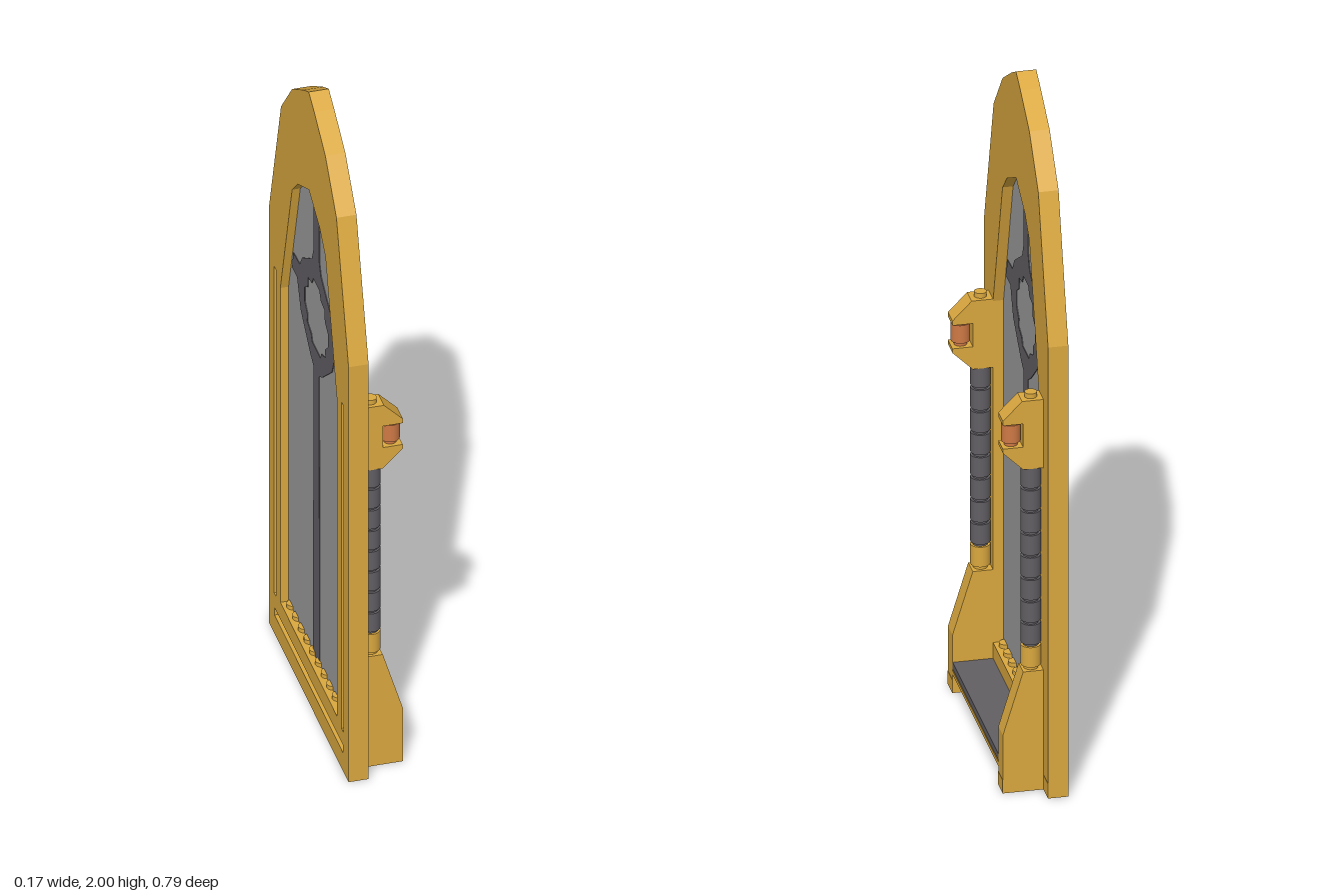
import * as THREE from 'three';

const mat = (name, color, side = THREE.FrontSide) => {
  const m = new THREE.MeshStandardMaterial({ color, side });
  m.name = name;
  return m;
};

export function createModel() {
  const gold = mat('gold', 0xdaa83f);
  const darkGrey = mat('dark grey', 0x625f64);
  const paleGrey = mat('pale grey', 0x9c9c9c);
  const copper = mat('copper', 0xcf7a45);

  const root = new THREE.Group();
  root.name = 'archedWindow';
  const S = 0.0564; // brick module
  const BACK = -0.085, FRONT = -0.029;

  const add = (geo, material, name, parent = root) => {
    const m = new THREE.Mesh(geo, material);
    m.name = name;
    parent.add(m);
    return m;
  };
  const poly = (pts, Type = THREE.Shape) => new Type(pts.map(p => new THREE.Vector2(p[0], p[1])));
  const mirrored = half => [...half, ...half.filter(p => p[0] !== 0).reverse().map(([z, y]) => [-z, y])];
  const rect = (a, b, c, d) => [[a, c], [b, c], [b, d], [a, d]];
  const withHoles = (pts, holes) => {
    const s = poly(pts);
    holes.forEach(h => s.holes.push(poly(h, THREE.Path)));
    return s;
  };
  // Upright slab: shape drawn in z and y, thickness from x0 to x1
  const slab = (shape, x0, x1) =>
    new THREE.ExtrudeGeometry(shape, { depth: x1 - x0, bevelEnabled: false })
      .rotateY(Math.PI / 2).translate(x0, 0, 0);
  // Side profile drawn in x and y, running from z0 to z1
  const profile = (pts, z0, z1) =>
    new THREE.ExtrudeGeometry(poly(pts), { depth: z1 - z0, bevelEnabled: false }).translate(0, 0, z0);
  const box = (x0, x1, y0, y1, z0, z1) =>
    new THREE.BoxGeometry(x1 - x0, y1 - y0, z1 - z0)
      .translate((x0 + x1) / 2, (y0 + y1) / 2, (z0 + z1) / 2);
  const cyl = (r, y0, y1, x, z, n = 20) =>
    new THREE.CylinderGeometry(r, r, y1 - y0, n).translate(x, (y0 + y1) / 2, z);
  // Brick underside: open square cells from y = 0 up to h
  const cells = (x0, nx, z0, nz, h) => {
    const holes = [], w = 0.008;
    for (let i = 0; i < nx; i++) for (let j = 0; j < nz; j++) {
      const x = x0 + i * S, z = z0 + j * S;
      holes.push(rect(x + w, x + S - w, -z - S + w, -z - w));
    }
    const s = withHoles(rect(x0, x0 + nx * S, -z0 - nz * S, -z0), holes);
    return new THREE.ExtrudeGeometry(s, { depth: h, bevelEnabled: false }).rotateX(-Math.PI / 2);
  };

  // Pointed frame with its opening; the back layer has grooves
  const outline = mirrored([[0.395, 0.045], [0.395, 1.36], [0.275, 1.77], [0.165, 1.9], [0.055, 1.97], [0, 2]]);
  const opening = mirrored([[0.282, 0.14], [0.282, 1.17], [0.165, 1.57], [0.11, 1.625], [0, 1.68]]);
  const grooves = [
    rect(0.325, 0.345, 0.13, 1.2), rect(-0.345, -0.325, 0.13, 1.2), rect(-0.34, 0.34, 0.06, 0.085),
  ];
  add(slab(withHoles(outline, [opening]), -0.062, FRONT), gold, 'frameFront');
  add(slab(withHoles(outline, [opening, ...grooves]), BACK, -0.062), gold, 'frameBack');
  add(cells(BACK, 1, -0.395, 14, 0.045), gold, 'frameUnderside');

  // Pane and its tracery, visible from both sides
  add(slab(poly(opening), -0.062, -0.058), paleGrey, 'pane');
  const ring = mirrored([
    [0.032, 0.14], [0.03, 0.6], [0.026, 1.08], [0.06, 1.1], [0.155, 1.18], [0.19, 1.262], [0.24, 1.262],
    [0.228, 1.318], [0.165, 1.322], [0.14, 1.36], [0.045, 1.42], [0.028, 1.46], [0.028, 1.66], [0, 1.675],
  ]);
  const eye = mirrored([
    [0.04, 1.15], [0.05, 1.17], [0.09, 1.185], [0.088, 1.21], [0.115, 1.235],
    [0.115, 1.28], [0.085, 1.3], [0.08, 1.335], [0.045, 1.34], [0.03, 1.365],
  ]);
  add(slab(withHoles(ring, [eye]), -0.064, -0.056), darkGrey, 'tracery');

  // Sill studs
  for (let i = 0; i < 10; i++)
    add(cyl(0.018, 0.135, 0.152, -0.057, (i - 4.5) * S, 12), gold, 'sillStud');

  // Projecting step
  add(cells(FRONT, 1, -0.282, 10, 0.04), gold, 'stepUnderside');
  add(profile([[FRONT, 0.04], [0.027, 0.04], [0.027, 0], [0.083, 0.055], [0.083, 0.068], [FRONT, 0.068]],
    -0.282, 0.282), gold, 'stepBase');
  add(box(FRONT, 0.083, 0.072, 0.093, -0.281, 0.281), darkGrey, 'stepTile');
  add(box(FRONT, 0.079, 0.068, 0.072, -0.281, 0.281), gold, 'stepSeam');

  // Side columns with foot, segmented shaft, lamp bracket
  for (const side of [1, -1]) {
    const column = new THREE.Group();
    column.name = side > 0 ? 'frontColumn' : 'backColumn';
    root.add(column);
    const z = side * 0.31, z0 = z - S / 2, z1 = z + S / 2;
    add(cells(FRONT, 2, z0, 1, 0.04), gold, 'footUnderside', column);
    add(profile([[FRONT, 0.04], [0.083, 0.04], [0.083, 0.175], [0.027, 0.36], [FRONT, 0.36]], z0, z1),
      gold, 'foot', column);
    add(cyl(0.02, 0.355, 0.375, 0, z), gold, 'collarNeck', column);
    add(cyl(0.0275, 0.37, 0.43, 0, z), gold, 'collar', column);
    add(cyl(0.021, 0.42, 0.975, 0, z), darkGrey, 'shaftCore', column);
    const n = 8, h = 0.54 / n;
    for (let i = 0; i < n; i++)
      add(cyl(0.0275, 0.43 + i * h + 0.008, 0.43 + (i + 1) * h, 0, z), darkGrey, 'shaftSegment', column);
    add(profile([
      [FRONT, 0.97], [0.027, 0.97], [0.083, 1.025], [0.083, 1.038], [0.027, 1.038],
      [0.027, 1.108], [0.083, 1.108], [0.083, 1.122], [0.03, 1.176], [FRONT, 1.176],
    ], z0, z1), gold, 'bracket', column);
    add(cyl(0.017, 1.17, 1.19, 0, z), gold, 'bracketStud', column);
    add(cyl(0.018, 1.036, 1.11, 0.055, z), copper, 'lampCore', column);
    add(cyl(0.0265, 1.05, 1.104, 0.055, z), copper, 'lamp', column);
  }
  return root;
}
